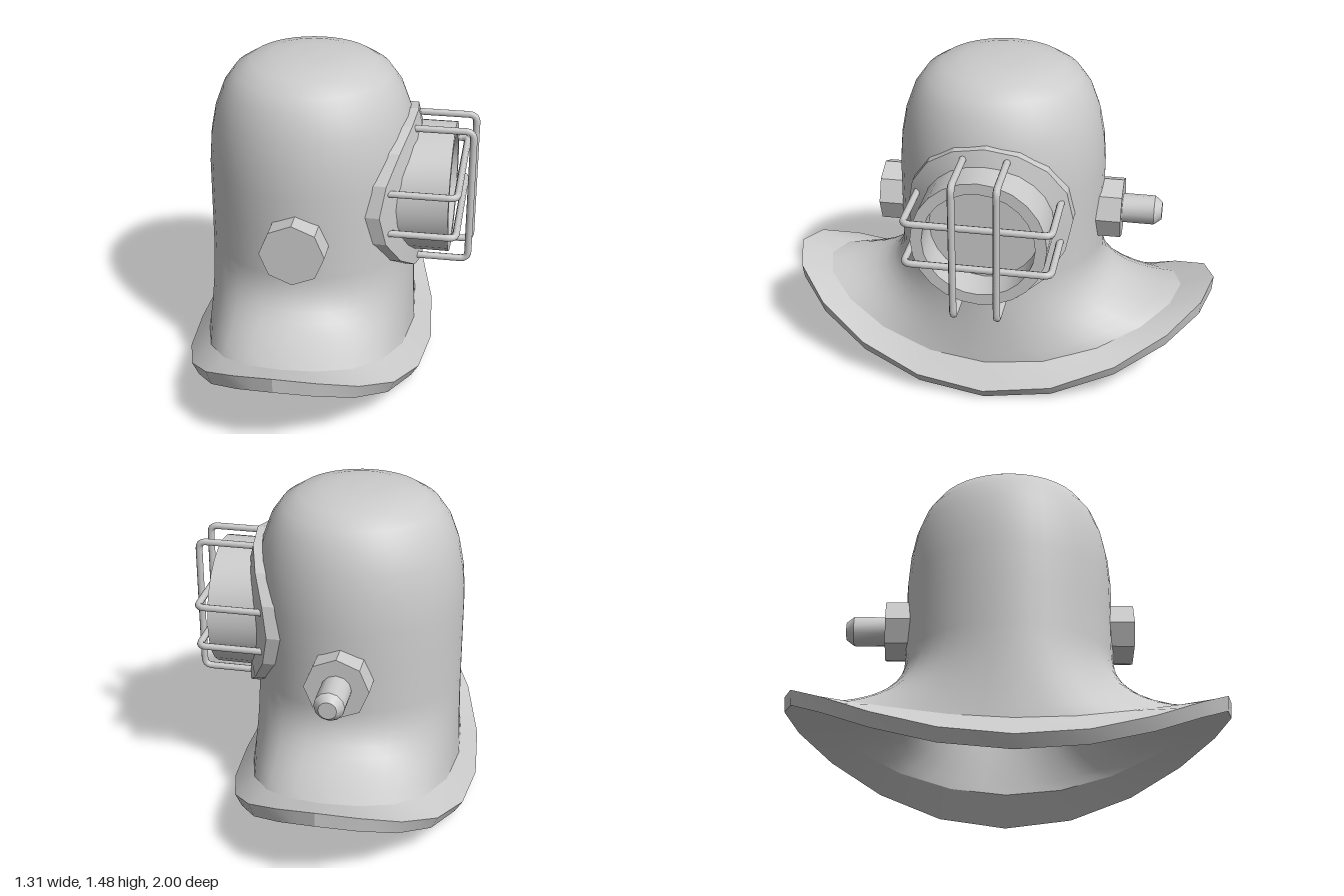
import * as THREE from 'three';
import { toCreasedNormals } from 'three/addons/utils/BufferGeometryUtils.js';

const CX = -0.09; // axis of the helmet body
const PORT_Y = 0.87, VALVE_Y = 0.76;
const material = new THREE.MeshStandardMaterial({ color: 0xcccccc, side: THREE.DoubleSide });

// Dome outline as [radius, height], from apex to the straight wall
const DOME = [[0, 1.48], [0.1, 1.478], [0.19, 1.47], [0.28, 1.445], [0.35, 1.4], [0.4, 1.33],
  [0.437, 1.23], [0.46, 1.11], [0.47, 0.98], [0.47, 0.8], [0.47, 0.6]];

function bodyRadius(y) {
  for (let i = 1; i < DOME.length; i++) {
    const [r0, y0] = DOME[i - 1], [r1, y1] = DOME[i];
    if (y >= y1) return r0 + (r1 - r0) * (y0 - y) / (y0 - y1);
  }
  return 0.47;
}

// Surface through closed rings; each ring is a function angle -> Vector3
function loft(rings, sides) {
  const pos = [], index = [];
  rings.forEach((ring, i) => {
    for (let j = 0; j < sides; j++) {
      pos.push(...ring(j / sides * Math.PI * 2).toArray());
      if (i === rings.length - 1) continue;
      const a = i * sides + j, b = i * sides + (j + 1) % sides;
      index.push(a, a + sides, b + sides, a, b + sides, b);
    }
  });
  const g = new THREE.BufferGeometry();
  g.setAttribute('position', new THREE.Float32BufferAttribute(pos, 3));
  g.setIndex(index);
  g.computeVertexNormals();
  return g;
}

function add(parent, name, geometry) {
  const mesh = new THREE.Mesh(geometry, material);
  mesh.name = name;
  parent.add(mesh);
  return mesh;
}

const circle = (r, y) => t => new THREE.Vector3(CX + r * Math.sin(t), y, r * Math.cos(t));

// Saddle-shaped oval with 20 corners, drooping towards the shoulders
function saddle(rx, rz, top, droop) {
  const step = Math.PI / 10;
  const corner = k => {
    const dx = rx * Math.sin(k * step);
    return new THREE.Vector3(CX + dx, top - droop * dx * dx, rz * Math.cos(k * step));
  };
  return t => {
    const k = Math.floor(t / step + 1e-6);
    return corner(k).lerp(corner(k + 1), Math.max(0, t / step - k));
  };
}

// Rings sweeping from the neck circle out to a saddle ring
function flare(radius, yTop, yBend, end) {
  const rings = [];
  for (let i = 1; i <= 8; i++) {
    const s = i / 8;
    rings.push(t => circle(radius, yTop)(t).multiplyScalar((1 - s) ** 2)
      .addScaledVector(circle(radius, yBend)(t), 2 * s * (1 - s))
      .addScaledVector(end(t), s * s));
  }
  return rings;
}

// Ring around the window axis, at a fixed x or lying on the body (lifted)
const portRing = (r, x) => t => new THREE.Vector3(x, PORT_Y + r * Math.cos(t), r * Math.sin(t));
const fittedRing = (r, lift) => t => {
  const y = PORT_Y + r * Math.cos(t), z = r * Math.sin(t);
  return new THREE.Vector3(CX + Math.sqrt((bodyRadius(y) + lift) ** 2 - z * z), y, z);
};

// U-shaped bar with rounded corners: leg, span, leg
function barGeometry(points) {
  const path = new THREE.CurvePath();
  let from = points[0];
  for (let i = 1; i < points.length - 1; i++) {
    const p = points[i];
    const near = q => p.clone().add(q.clone().sub(p).setLength(0.035));
    path.add(new THREE.LineCurve3(from, near(points[i - 1])));
    path.add(new THREE.QuadraticBezierCurve3(near(points[i - 1]), p, near(points[i + 1])));
    from = near(points[i + 1]);
  }
  path.add(new THREE.LineCurve3(from, points[points.length - 1]));
  return new THREE.TubeGeometry(path, 80, 0.016, 8, false);
}

export function createModel() {
  const model = new THREE.Group();
  model.name = 'divingHelmet';
  const V = (x, y, z) => new THREE.Vector3(x, y, z);

  // Outer and inner shell with flared shoulders
  const rimInner = saddle(0.48, 0.85, 0.375, 0.95);
  const rimOuter = saddle(0.565, 1, 0.43, 1.18);
  const rimLower = saddle(0.53, 0.995, 0.36, 1.28);
  const rimUnder = saddle(0.43, 0.83, 0.335, 1.1);
  add(model, 'helmetShell', loft(
    [...DOME.map(([r, y]) => circle(r, y)), ...flare(0.47, 0.6, 0.36, rimInner)], 40));
  const lining = [...DOME.map(([r, y]) => circle(r * 0.91, y - 0.04)),
    ...flare(0.428, 0.56, 0.32, rimUnder)];
  add(model, 'helmetLining', loft(lining.reverse(), 40));

  // Collar rim
  add(model, 'collarRim', toCreasedNormals(
    loft([rimInner, rimOuter, rimLower, rimUnder], 40), 0.5));

  // Window: curved flange, tube and pane
  const port = new THREE.Group();
  port.name = 'window';
  model.add(port);
  add(port, 'windowFlange', toCreasedNormals(
    loft([fittedRing(0.28, 0.04), fittedRing(0.37, 0.04), fittedRing(0.37, -0.01)], 16), 0.3));
  add(port, 'windowTube', toCreasedNormals(
    loft([portRing(0.245, 0.39), portRing(0.245, 0.55), portRing(0.295, 0.55), fittedRing(0.295, -0.01)], 24), 0.6));
  const pane = add(port, 'windowPane', new THREE.CircleGeometry(0.25, 24));
  pane.rotation.y = Math.PI / 2;
  pane.position.set(0.395, PORT_Y, 0);

  // Guard bars crossing in front of the window
  for (const z of [-0.095, 0.095]) {
    add(port, 'verticalGuardBar', barGeometry(
      [V(0.34, 1.185, z), V(0.635, 1.185, z), V(0.635, 0.555, z), V(0.37, 0.555, z)]));
  }
  for (const y of [0.775, 0.968]) {
    add(port, 'horizontalGuardBar', barGeometry(
      [V(0.29, y, -0.318), V(0.588, y, -0.318), V(0.588, y, 0.318), V(0.29, y, 0.318)]));
  }

  // Octagonal fittings on front and back
  for (const side of [1, -1]) {
    const nut = add(model, side > 0 ? 'frontFitting' : 'backFitting',
      toCreasedNormals(new THREE.CylinderGeometry(0.143, 0.143, 0.12, 8), 0.3));
    nut.rotation.x = Math.PI / 2;
    nut.position.set(CX, VALVE_Y, side * 0.5);
  }

  // Air valve stub on the back fitting
  const stub = [[0, 0], [0.067, 0], [0.067, 0.2], [0.04, 0.235], [0, 0.235]];
  const valve = add(model, 'airValve', toCreasedNormals(
    new THREE.LatheGeometry(stub.map(p => new THREE.Vector2(...p)), 12), 0.6));
  valve.rotation.x = -Math.PI / 2;
  valve.position.set(CX, VALVE_Y, -0.505);

  return model;
}
